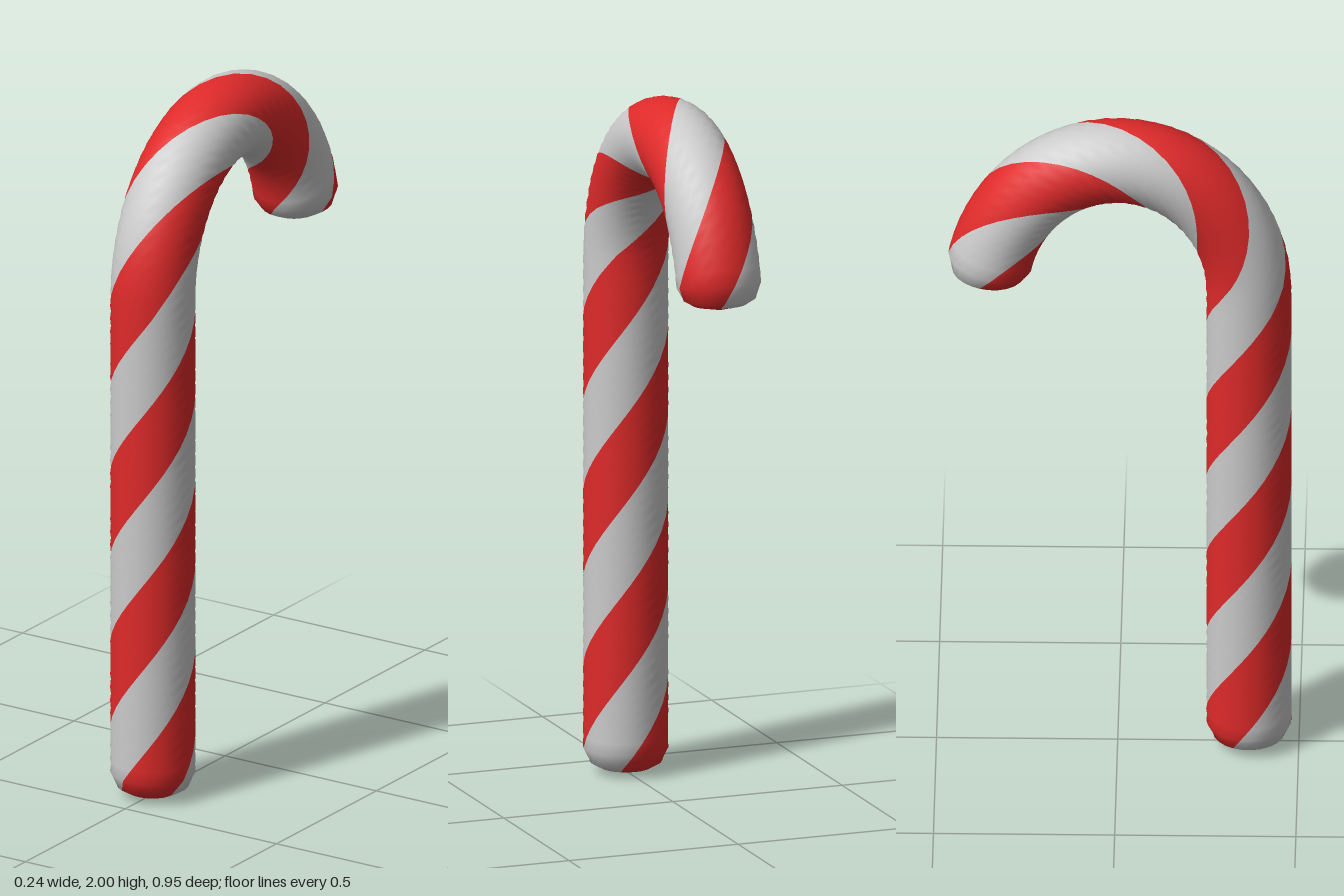
import * as THREE from 'three';

const R = 0.118;        // cane radius
const SIDES = 24;       // columns round the cane, a quarter of them per stripe
const PITCH = 1.0;      // length of one full twist
const PHASE = 0.1;      // where the first red edge crosses the front

// Centre line: straight shaft, then a slightly tall half-ellipse hook
function centreLine() {
  const base = 1.46, rz = 0.362, ry = 0.422, end = Math.PI * 0.978;
  const hook = [];
  for (let i = 0; i <= 20; i++) {
    const t = (i / 20) * end;
    hook.push(new THREE.Vector3(0, base + ry * Math.sin(t), rz * Math.cos(t)));
  }
  const path = new THREE.CurvePath();
  path.add(new THREE.LineCurve3(new THREE.Vector3(0, 0, rz), hook[0]));
  path.add(new THREE.CatmullRomCurve3(hook));
  return path;
}

// Rings along the cane as [distance, radius], with rounded ends
function ringList(length) {
  const cap = [[0, 0.001], [0.014, 0.072], [0.03, 0.1], [0.07, R]];
  const rings = [...cap];
  const n = 72;
  for (let i = 1; i < n; i++) rings.push([0.07 + (length - 0.14) * (i / n), R]);
  for (const [s, r] of [...cap].reverse()) rings.push([length - s, r]);
  return rings;
}

export function createModel() {
  const group = new THREE.Group();
  group.name = 'candyCane';

  const path = centreLine();
  const length = path.getLength();
  const rings = ringList(length);
  const side = new THREE.Vector3(1, 0, 0);
  const positions = [], red = [], white = [];

  // Columns of vertices twist with the distance, so stripe edges follow them
  for (const [s, r] of rings) {
    const u = Math.min(s / length, 1);
    const p = path.getPointAt(u);
    const out = new THREE.Vector3().crossVectors(side, path.getTangentAt(u)).normalize();
    for (let j = 0; j < SIDES; j++) {
      const a = 2 * Math.PI * ((s - PHASE) / PITCH + j / SIDES);
      const v = p.clone().addScaledVector(out, r * Math.cos(a)).addScaledVector(side, r * Math.sin(a));
      positions.push(v.x, v.y, v.z);
    }
  }

  // Quarter-turn stripes alternate; both end faces are red
  for (let i = 0; i < rings.length - 1; i++) {
    const endFace = i < 1 || i >= rings.length - 2;
    for (let j = 0; j < SIDES; j++) {
      const k = (j + 1) % SIDES;
      const a = i * SIDES + j, b = i * SIDES + k, c = b + SIDES, d = a + SIDES;
      const isRed = endFace || Math.floor((j * 4) / SIDES) % 2 === 0;
      (isRed ? red : white).push(a, b, c, a, c, d);
    }
  }

  // Shared smooth normals keep the two colours seamless
  const whole = new THREE.BufferGeometry();
  whole.setAttribute('position', new THREE.Float32BufferAttribute(positions, 3));
  whole.setIndex([...red, ...white]);
  whole.computeVertexNormals();

  const addStripes = (name, index, color) => {
    const geometry = whole.clone();
    geometry.setIndex(index);
    const mesh = new THREE.Mesh(geometry, new THREE.MeshStandardMaterial({ color }));
    mesh.name = name;
    group.add(mesh);
  };
  addStripes('redStripes', red, 0xe02a2a);
  addStripes('paleStripes', white, 0xcccccc);

  return group;
}
